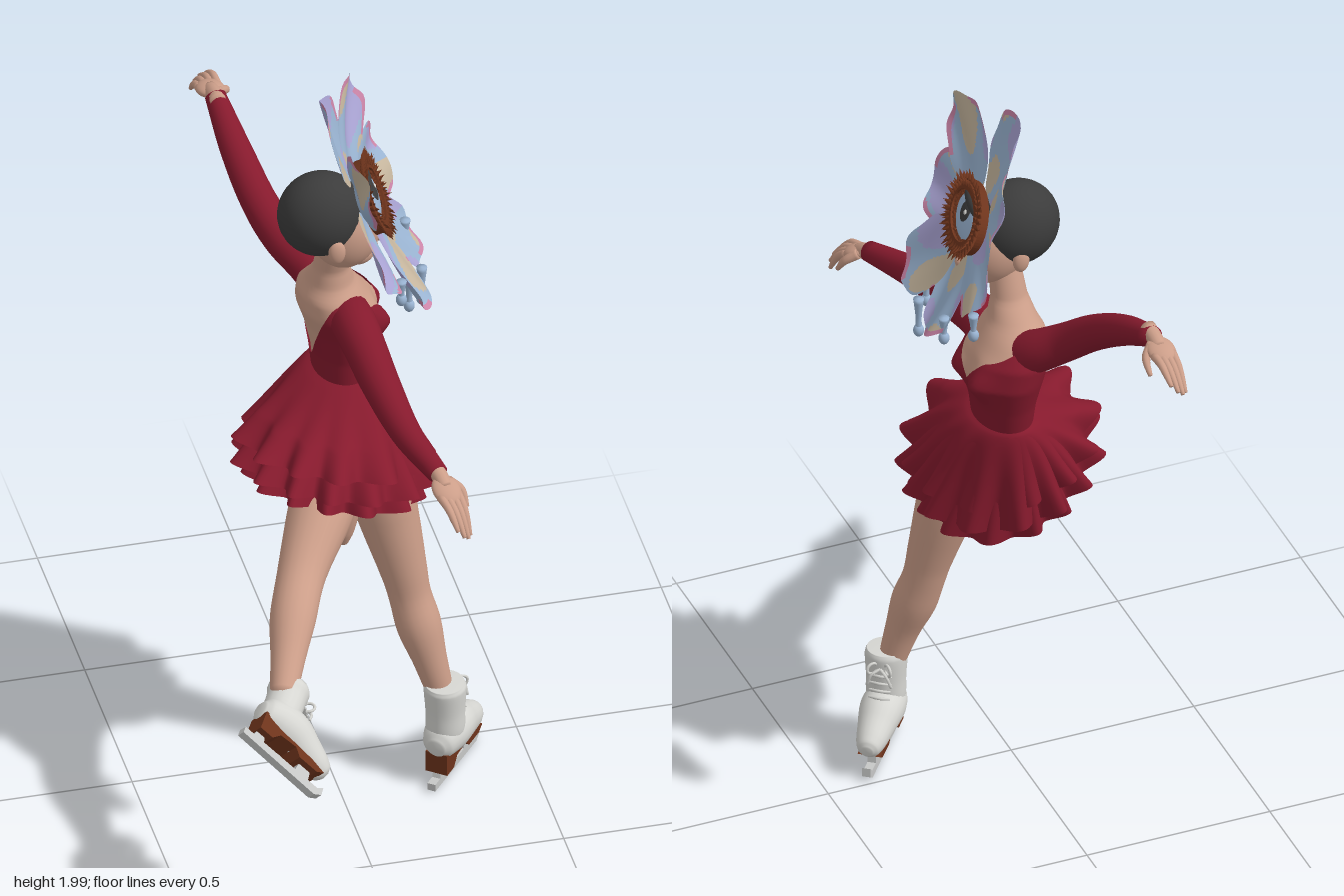
import * as THREE from 'three';

const mat = (name, color, side = THREE.FrontSide) => {
  const m = new THREE.MeshStandardMaterial({ color, side });
  m.name = name;
  return m;
};
const V = (x, y, z) => new THREE.Vector3(x, y, z);
const TAU = Math.PI * 2;

// Closed grid surface from fn(u, v) -> [x, y, z]; pick(u, v) sorts the cells into material groups
function loft(fn, nu, nv, pick = () => 0, groups = 1) {
  const pos = [], lists = Array.from({ length: groups }, () => []);
  for (let j = 0; j <= nv; j++) for (let i = 0; i < nu; i++) pos.push(...fn(i / nu, j / nv));
  for (let j = 0; j < nv; j++) for (let i = 0; i < nu; i++) {
    const a = j * nu + i, b = j * nu + (i + 1) % nu;
    lists[pick((i + 0.5) / nu, (j + 0.5) / nv)].push(a, b, a + nu, b, b + nu, a + nu);
  }
  const g = new THREE.BufferGeometry();
  g.setAttribute('position', new THREE.Float32BufferAttribute(pos, 3));
  g.setIndex(lists.flat());
  let start = 0;
  if (groups > 1) lists.forEach((l, k) => { g.addGroup(start, l.length, k); start += l.length; });
  g.computeVertexNormals();
  return g;
}

// Round tapered tube through points [x, y, z, radius], with closed ends
function limb(pts, sides = 20, steps = 28) {
  const path = new THREE.CatmullRomCurve3(pts.map(p => V(p[0], p[1], p[2])));
  const rad = new THREE.CatmullRomCurve3(pts.map((p, i) => V(p[3], i, 0)));
  const d = path.getPoint(1).sub(path.getPoint(0)).normalize();
  const ref = Math.abs(d.y) < 0.7 ? V(0, 1, 0) : Math.abs(d.x) < 0.7 ? V(1, 0, 0) : V(0, 0, 1);
  return loft((u, v) => {
    const t = THREE.MathUtils.clamp((v * (steps + 2) - 1) / steps, 0, 1);
    const T = path.getTangent(t), N = T.clone().cross(ref).normalize(), B = T.clone().cross(N);
    const r = rad.getPoint(t).x * (v === 0 || v === 1 ? 0.01 : 1);
    return path.getPoint(t).addScaledVector(N, r * Math.cos(u * TAU)).addScaledVector(B, r * Math.sin(u * TAU)).toArray();
  }, sides, steps + 2);
}

// Torso cross-sections: y, centre x, centre z, radius x, radius z
const TORSO = [
  [0.95, 0.05, -0.05, 0.1, 0.115], [1.05, 0.06, -0.09, 0.08, 0.108], [1.12, 0.068, -0.103, 0.067, 0.1],
  [1.2, 0.07, -0.11, 0.076, 0.11], [1.28, 0.068, -0.115, 0.092, 0.128], [1.34, 0.052, -0.11, 0.096, 0.132],
  [1.385, 0.038, -0.1, 0.082, 0.108], [1.42, 0.035, -0.09, 0.062, 0.072], [1.47, 0.035, -0.07, 0.047, 0.045],
  [1.56, 0.04, -0.045, 0.042, 0.043]];
function torsoPoint(a, y, grow) {
  let i = 0;
  while (i < TORSO.length - 2 && y > TORSO[i + 1][0]) i++;
  const p = TORSO[i], q = TORSO[i + 1], t = (y - p[0]) / (q[0] - p[0]);
  const [, cx, cz, rx, rz] = p.map((n, k) => n + (q[k] - n) * t);
  const bust = [-0.5, 0.5].reduce((s, b) => s + 0.032 * Math.exp(-(((y - 1.285) / 0.045) ** 2) - ((a - b) / 0.32) ** 2), 0);
  return [cx + Math.cos(a) * (rx + grow) + bust, y, cz + Math.sin(a) * (rz + grow)];
}

export function createModel() {
  const root = new THREE.Group();
  const D = THREE.DoubleSide;
  const red = mat('dress red', 0x861a2d, D), skin = mat('skin', 0xcc9e89), white = mat('boot white', 0xd6d6d2),
    steel = mat('blade grey', 0xc6c7c6), brown = mat('brown', 0x6e341c), dark = mat('hair charcoal', 0x3c3c3c),
    blue = mat('petal blue', 0x9ab4d2, D), lilac = mat('petal lilac', 0xaaa4d4, D),
    tan = mat('petal tan', 0xc6b69e, D), pink = mat('petal pink', 0xcc85a8, D);
  const add = (parent, name, geo, m) => {
    const mesh = new THREE.Mesh(geo, m);
    mesh.name = name;
    parent.add(mesh);
    return mesh;
  };
  const ball = (parent, name, m, p, s) => {
    const b = add(parent, name, new THREE.SphereGeometry(1, 32, 24), m);
    b.position.set(...p);
    b.scale.set(...s);
    return b;
  };
  const frame = (name, origin, X, Y, Z) => {
    const g = new THREE.Group();
    g.name = name;
    g.quaternion.setFromRotationMatrix(new THREE.Matrix4().makeBasis(X, Y, Z));
    g.position.copy(origin);
    root.add(g);
    return g;
  };

  // Body, and bodice with sweetheart front and deep V back
  add(root, 'torsoAndNeck', loft((u, v) => torsoPoint(Math.PI - u * TAU, 0.95 + v * 0.61, 0), 48, 60), skin);
  add(root, 'bodice', loft((u, v) => {
    const a = Math.PI - u * TAU, s = Math.abs(Math.sin(a)), c = Math.cos(a);
    const top = c > 0 ? 1.275 + 0.065 * Math.min(1, s * 2.2) + 0.05 * s ** 3 : 1.18 + 0.21 * s ** 1.5;
    return torsoPoint(a, 0.95 + v * (top - 0.95), 0.005);
  }, 72, 48), red);
  ball(root, 'briefs', red, [0.05, 0.94, 0], [0.11, 0.09, 0.11]);

  // Head behind the flower
  ball(root, 'hair', dark, [0, 1.66, -0.035], [0.112, 0.114, 0.098]);
  ball(root, 'face', skin, [0.06, 1.605, -0.03], [0.09, 0.108, 0.078]);
  ball(root, 'jaw', skin, [0.09, 1.54, -0.03], [0.05, 0.04, 0.048]);
  ball(root, 'nose', skin, [0.146, 1.575, -0.03], [0.02, 0.02, 0.013]);
  ball(root, 'lips', skin, [0.134, 1.547, -0.03], [0.012, 0.011, 0.02]);
  for (const s of [-1, 1]) ball(root, 'ear', skin, [0.02, 1.595, -0.03 + s * 0.084], [0.022, 0.034, 0.014]);

  // Layered ruffled skirt, lifted over the raised leg
  [[0.965, 0.235, 12, 0], [0.905, 0.243, 14, 1.4], [0.85, 0.21, 13, 2.6]].forEach(([hem, R, n, ph], k) => {
    add(root, 'skirtLayer' + (k + 1), loft((u, v) => {
      const a = -u * TAU, s = 1 - v, c = Math.cos(a), d = Math.sin(a);
      const lift = 0.05 * (d - c), wave = Math.sin(n * a + ph + 0.8 * Math.sin(3 * a));
      const f = s ** 0.78, ruffle = 0.026 * s * s * wave;
      return [0.068 - 0.048 * s + c * (0.071 + (R - 0.071) * f + ruffle),
        1.14 + (hem + lift * Math.min(1, s * 1.5) - 1.14) * s ** 1.1 + 0.01 * s ** 4 * wave,
        -0.104 + 0.124 * s + d * (0.107 + (R - 0.107) * f + ruffle)];
    }, 180, 24), red);
  });

  // Sleeves
  add(root, 'leftSleeve', limb([[0.07, 1.33, -0.07, 0.056], [0.072, 1.343, 0.02, 0.058], [0.08, 1.325, 0.12, 0.054],
    [0.09, 1.298, 0.24, 0.049], [0.115, 1.258, 0.4, 0.039], [0.16, 1.23, 0.55, 0.027]]), red);
  add(root, 'rightSleeve', limb([[0.055, 1.32, -0.12, 0.056], [0.02, 1.37, -0.2, 0.056], [-0.04, 1.425, -0.265, 0.05],
    [-0.082, 1.49, -0.34, 0.047], [-0.114, 1.575, -0.47, 0.04], [-0.132, 1.645, -0.615, 0.027]]), red);

  // Hands with drooping fingers
  const hand = (name, wrist, dir, thumb) => {
    const X = dir.normalize(), Z = X.clone().cross(V(0, 1, 0)).normalize();
    const g = frame(name, wrist, X, Z.clone().cross(X), Z);
    add(g, 'wrist', limb([[-0.03, 0, 0, 0.021], [0.02, 0.002, 0, 0.021], [0.05, 0, 0, 0.02]], 14, 8), skin);
    ball(g, 'palm', skin, [0.055, 0, 0], [0.046, 0.018, 0.037]);
    for (let i = -1.5; i < 2; i++) {
      const l = 1 - 0.06 * i * i;
      add(g, 'finger', limb([[0.07, 0, i * 0.016, 0.0115], [0.07 + 0.05 * l, 0.006 * i, i * 0.016, 0.01],
        [0.07 + 0.085 * l, -0.012 + 0.009 * i, i * 0.015, 0.0085], [0.07 + 0.12 * l, -0.028 + 0.012 * i, i * 0.014, 0.0055]], 10, 10), skin);
    }
    add(g, 'thumb', limb([[0.03, 0, thumb * 0.015, 0.014], [0.06, -0.012, thumb * 0.042, 0.011], [0.1, -0.035, thumb * 0.045, 0.006]], 10, 10), skin);
  };
  hand('leftHand', V(0.16, 1.23, 0.545), V(0.22, -0.42, 0.87), -1);
  hand('rightHand', V(-0.133, 1.645, -0.61), V(-0.02, -0.2, -0.97), 1);

  // Legs
  add(root, 'standingLeg', limb([[0.1, 0.96, 0.02, 0.087], [0.128, 0.87, 0.05, 0.086], [0.155, 0.75, 0.063, 0.077],
    [0.187, 0.6, 0.085, 0.06], [0.2, 0.53, 0.095, 0.055], [0.218, 0.45, 0.115, 0.058], [0.24, 0.36, 0.135, 0.045], [0.267, 0.25, 0.15, 0.034]]), skin);
  add(root, 'raisedLeg', limb([[0.04, 0.94, 0.0, 0.09], [-0.04, 0.86, 0.13, 0.084], [-0.125, 0.775, 0.27, 0.063],
    [-0.175, 0.72, 0.38, 0.059], [-0.21, 0.665, 0.47, 0.045], [-0.245, 0.61, 0.56, 0.034]]), skin);
  add(root, 'innerThigh', limb([[0.03, 0.9, 0.05, 0.065], [0.03, 0.8, 0.06, 0.048], [0.032, 0.735, 0.062, 0.03], [0.033, 0.7, 0.062, 0.014]]), skin);

  // Ice skates: x forward, y up, h is the height of the cuff
  const plate = (pts, w) => {
    const g = new THREE.ExtrudeGeometry(new THREE.Shape(pts.map(p => new THREE.Vector2(...p))), { depth: w, bevelEnabled: false });
    return g.translate(0, 0, -w / 2);
  };
  const skate = (name, origin, f, up, h) => {
    const X = f.normalize(), Z = X.clone().cross(up).normalize(), g = frame(name, origin, X, Z.clone().cross(X), Z);
    add(g, 'bootShaft', limb([[-0.003, h, 0, 0.05], [-0.002, h - 0.015, 0, 0.055], [0, 0.21, 0, 0.051], [0, 0.15, 0, 0.05], [0, 0.11, 0, 0.04]]), white);
    add(g, 'bootFoot', limb([[-0.06, 0.12, 0, 0.022], [-0.043, 0.122, 0, 0.042], [0, 0.13, 0, 0.055], [0.05, 0.128, 0, 0.056],
      [0.1, 0.112, 0, 0.047], [0.145, 0.098, 0, 0.038], [0.17, 0.092, 0, 0.028], [0.18, 0.09, 0, 0.014]]), white);
    add(g, 'heelAndSole', plate([[-0.054, 0.042], [-0.012, 0.042], [0.008, 0.068], [0.06, 0.072], [0.08, 0.052],
      [0.14, 0.052], [0.16, 0.066], [0.1, 0.08], [0, 0.098], [-0.054, 0.102]], 0.06), brown);
    add(g, 'blade', plate([[-0.085, 0.008], [0.165, 0.003], [0.186, 0.018], [0.184, 0.042], [0.168, 0.028], [0.135, 0.028],
      [0.132, 0.056], [0.095, 0.056], [0.09, 0.028], [-0.02, 0.028], [-0.025, 0.045], [-0.05, 0.045], [-0.055, 0.028], [-0.085, 0.028]], 0.022), steel);
    for (let i = 0; i < 5; i++) {
      const t = i / 4, x = 0.04 + 0.025 * (1 - t), y = 0.18 + (h - 0.22) * t;
      add(g, 'lace', limb([[x, y, -0.028, 0.003], [x + 0.01, y + 0.005, 0, 0.004], [x, y, 0.028, 0.003]], 6, 8), white);
    }
    for (const s of [-1, 1]) {
      const loop = add(g, 'bowLoop', new THREE.TorusGeometry(0.015, 0.004, 6, 16), white);
      loop.position.set(0.058, h - 0.03, s * 0.02);
      loop.rotation.y = s * 0.8 + Math.PI / 2;
      add(g, 'laceEnd', limb([[0.056, h - 0.03, 0, 0.004], [0.07, h - 0.042, s * 0.02, 0.004], [0.067, h - 0.075, s * 0.032, 0.004]], 6, 8), white);
    }
  };
  skate('standingSkate', V(0.276, 0, 0.158), V(0.62, 0, -0.785), V(0, 1, 0), 0.292);
  skate('raisedSkate', V(-0.337, 0.562, 0.732), V(0.67, -0.69, 0.25), V(0.4, 0.24, -0.88), 0.252);

  // Flower mask: z points out of its face
  const out = V(0.9, 0.4, 0.17).normalize(), across = V(0, 1, 0).cross(out).normalize();
  const flower = frame('flower', V(0.102, 1.688, -0.027), across, out.clone().cross(across), out);
  // Oval cupped petals with scalloped rims; lift bends each tip forward
  const lift = [0.03, 0.075, 0.025, 0.045, 0.045, 0.025, 0.075];
  for (let k = 0; k < 7; k++) {
    const petal = add(flower, 'petal', loft((u, v) => {
      const p = u * TAU, e = (1 - v) * (1 + (1 - v) ** 2 * (0.03 * Math.cos(7 * p) + 0.02 * Math.sin(4 * p + k)));
      const r = 0.19 + 0.128 * e * Math.cos(p), q = e * Math.sin(p), s = Math.max(0, (r - 0.05) / 0.27);
      const w = 0.104 * (0.82 + 0.25 * s);
      return [r, q * w, (k % 2) * 0.012 + lift[k] * s * s + 0.024 * q * q * s + 0.009 * s * Math.sin(5 * q + 2 * k)];
    }, 56, 18, (u, v) => {
      const e = 1 - v, s = 0.52 + 0.48 * e * Math.cos(u * TAU), q = e * Math.sin(u * TAU);
      const n = Math.sin(3 * q + 2 * k) + 0.8 * Math.sin(6 * s - 3 * k + 2 * q);
      if (e > 0.87 && s > 0.5 && Math.sin(5 * k + 4 * q) > 0) return 3;
      return n > 0.65 ? 2 : n < -0.5 ? 1 : 0;
    }, 4), [blue, lilac, tan, pink]);
    petal.rotation.z = Math.PI / 2 + k * TAU / 7;
  }

  // Eye at the flower centre with a shaggy brown rim
  const rim = new THREE.Shape().absellipse(0, 0, 0.118, 0.086, 0, TAU);
  rim.holes.push(new THREE.Path().absellipse(0, 0, 0.088, 0.058, 0, TAU));
  add(flower, 'eyeRim', new THREE.ExtrudeGeometry(rim, { depth: 0.03, bevelEnabled: false, curveSegments: 32 }), brown).position.z = 0.015;
  for (let i = 0; i < 76; i++) {
    const a = i * TAU / 76, outer = i % 2, m = outer ? 1.08 : 0.9;
    const tuft = add(flower, 'rimTuft', new THREE.ConeGeometry(0.012, 0.045 + 0.012 * Math.sin(i * 2.3), 5), brown);
    tuft.position.set(Math.cos(a) * 0.112 * m, Math.sin(a) * 0.081 * m, 0.042);
    tuft.quaternion.setFromUnitVectors(V(0, 1, 0), V(Math.cos(a), Math.sin(a), outer ? 0.35 : 0.9).normalize());
  }
  ball(flower, 'eyeball', blue, [0, 0, 0.018], [0.094, 0.066, 0.026]);
  ball(flower, 'pupil', dark, [0, 0.012, 0.036], [0.034, 0.032, 0.012]);
  ball(flower, 'upperLid', dark, [0, 0.042, 0.032], [0.068, 0.017, 0.016]);
  ball(flower, 'glint', white, [0.012, 0.018, 0.046], [0.007, 0.007, 0.004]);

  // Drips hanging from the lower petals: x, z, top, bottom
  for (const [x, z, top, end] of [[0.16, 0.165, 1.56, 1.49], [0.205, 0.065, 1.49, 1.395], [0.255, -0.005, 1.47, 1.36],
    [0.25, -0.16, 1.51, 1.435], [0.215, -0.27, 1.58, 1.505]]) {
    add(root, 'drip', limb([[x, top, z, 0.014], [x, (top + end) / 2, z, 0.008], [x, end + 0.015, z, 0.009]], 10, 10), blue);
    ball(root, 'dripBead', blue, [x, end + 0.013, z], [0.014, 0.018, 0.014]);
  }
  return root;
}
